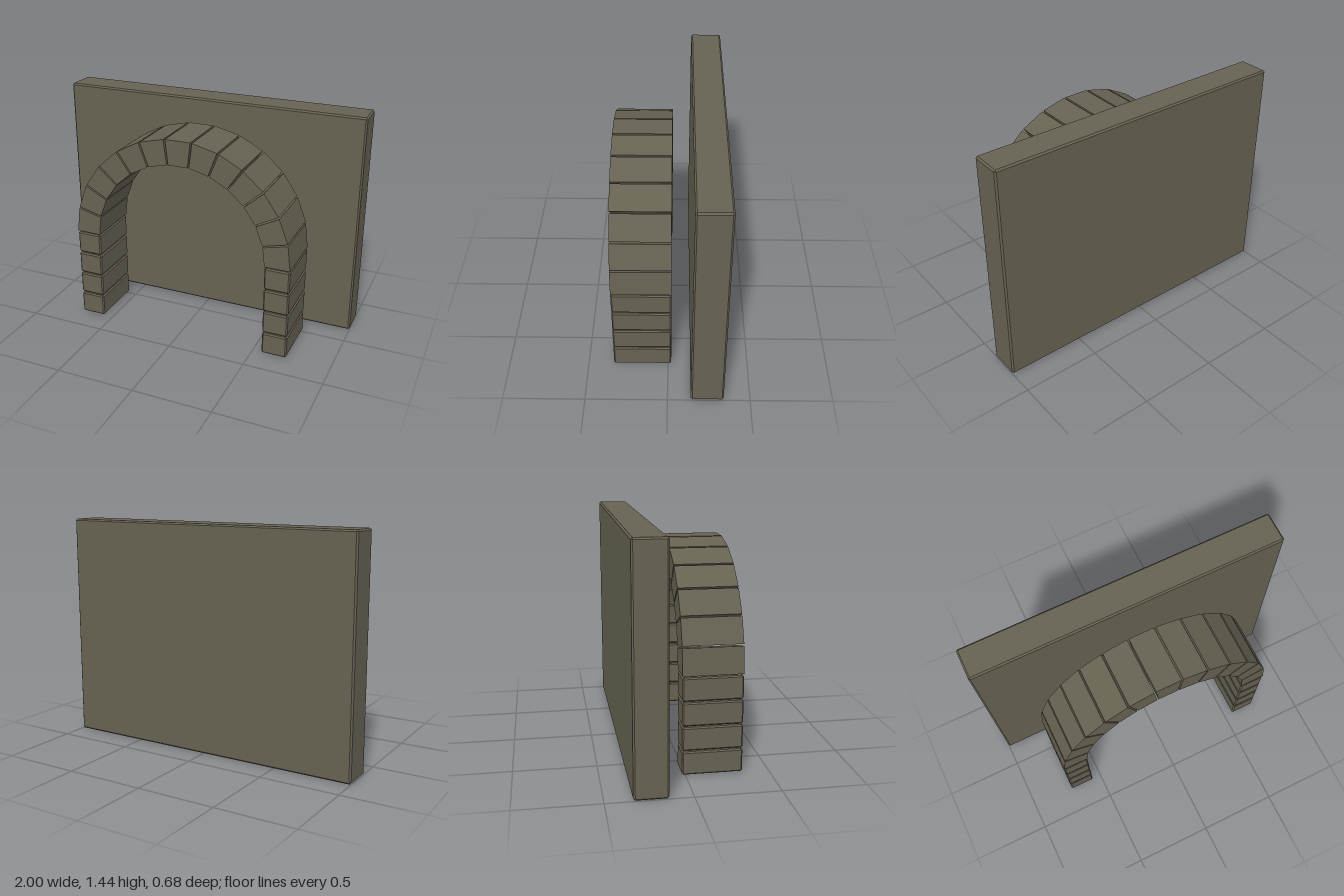
import * as THREE from 'three';
import { ConvexGeometry } from 'three/addons/geometries/ConvexGeometry.js';

const stone = new THREE.MeshStandardMaterial({ color: 0x666252 });
stone.name = 'stone';

// Box with all twelve edges chamfered by c
function chamferBox(w, h, d, c) {
  const x = w / 2, y = h / 2, z = d / 2, points = [];
  for (const i of [-1, 1]) for (const j of [-1, 1]) for (const k of [-1, 1]) {
    points.push(
      new THREE.Vector3(i * x, j * (y - c), k * (z - c)),
      new THREE.Vector3(i * (x - c), j * y, k * (z - c)),
      new THREE.Vector3(i * (x - c), j * (y - c), k * z));
  }
  return new ConvexGeometry(points);
}

export function createModel() {
  const model = new THREE.Group();
  model.name = 'stoneArchway';
  const add = (parent, name, geometry, x, y, z) => {
    const mesh = new THREE.Mesh(geometry, stone);
    mesh.name = name;
    mesh.position.set(x, y, z);
    parent.add(mesh);
  };

  // Back wall slab
  add(model, 'backWall', chamferBox(2, 1.44, 0.2, 0.01), 0, 0.72, -0.24);

  const inner = 0.56, outer = 0.72, depth = 0.36, zMid = 0.16, springY = 0.6;

  // Two pillars of four stacked blocks
  const block = chamferBox(outer - inner, 0.142, depth, 0.008);
  for (const side of [-1, 1]) {
    const pillar = new THREE.Group();
    pillar.name = side > 0 ? 'leftPillar' : 'rightPillar';
    for (let i = 0; i < 4; i++) {
      add(pillar, 'pillarBlock', block, side * (inner + outer) / 2, 0.075 + i * 0.15, zMid);
    }
    model.add(pillar);
  }

  // Ring of thirteen straight-sided wedge stones
  const arch = new THREE.Group();
  arch.name = 'arch';
  const count = 13, step = Math.PI / count, gap = 0.008;
  for (let i = 0; i < count; i++) {
    const a = i * step + gap, b = (i + 1) * step - gap;
    const at = (r, t) => new THREE.Vector2(r * Math.cos(t), r * Math.sin(t));
    const wedge = new THREE.Shape([at(inner, a), at(outer, a), at(outer, b), at(inner, b)]);
    const geometry = new THREE.ExtrudeGeometry(wedge, { depth, bevelEnabled: false });
    add(arch, i === 6 ? 'keystone' : 'archStone', geometry, 0, springY, zMid - depth / 2);
  }
  model.add(arch);

  return model;
}
